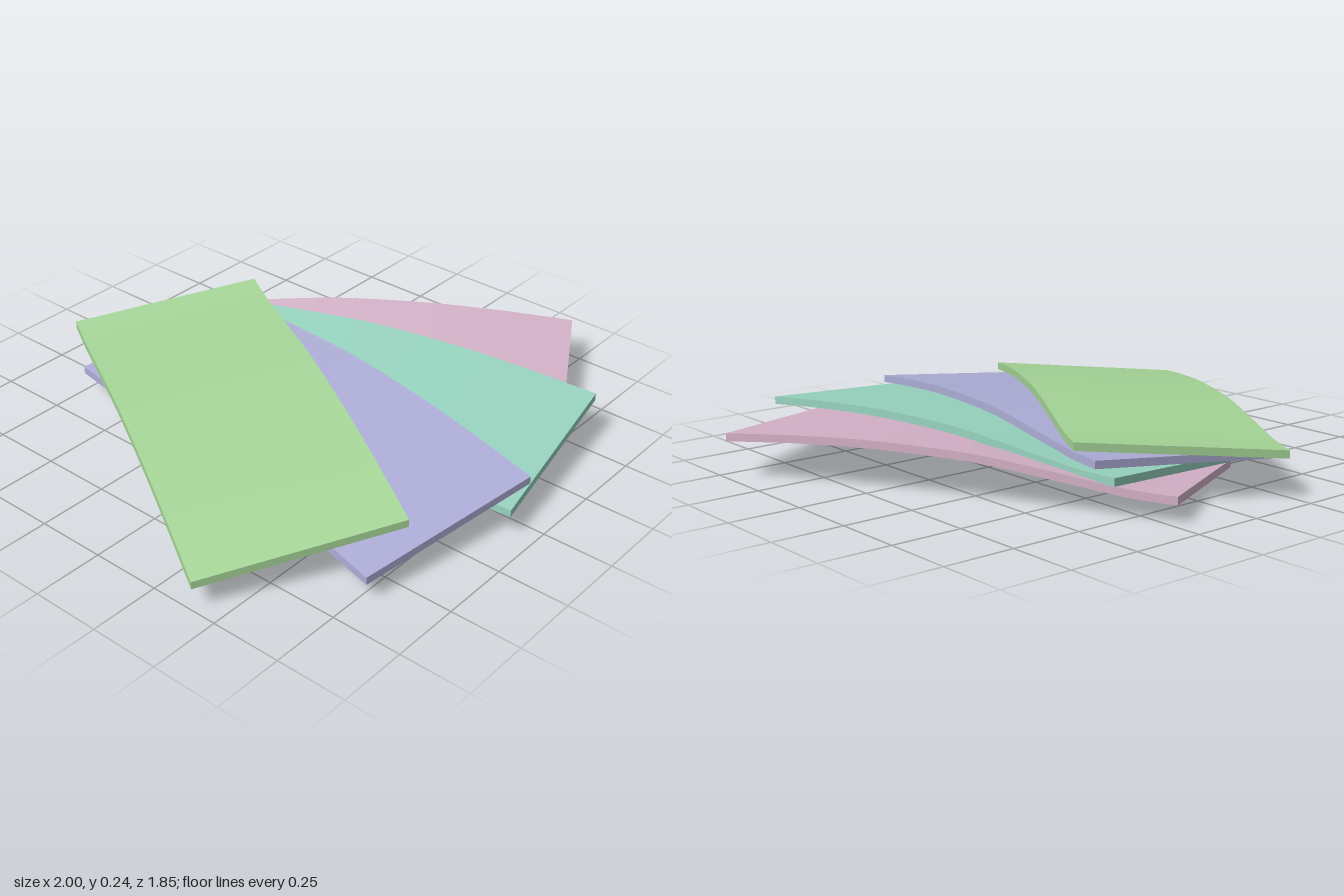
import * as THREE from 'three';

const LENGTH = 1.545, WIDTH = 0.695, THICK = 0.027, SIDE_RISE = 0.057;

// Lengthwise bulge above the straight line from front edge (t = 0) to back edge (t = 1)
const bulge = new THREE.SplineCurve([
  [0, 0], [0.16, 0.025], [0.32, 0.042], [0.48, 0.047], [0.6, 0.043],
  [0.75, 0.023], [0.9, 0.002], [1, 0],
].map(([t, y]) => new THREE.Vector2(t, y)));

function bulgeAt(t) {
  let lo = 0, hi = 1;
  for (let i = 0; i < 24; i++) {
    const mid = (lo + hi) / 2;
    if (bulge.getPoint(mid).x < t) lo = mid; else hi = mid;
  }
  return bulge.getPoint((lo + hi) / 2).y;
}

// One curved sheet: front and back are the heights of its underside at the middle of each end
function makeSheet({ name, color, x, z, angle, front, back }) {
  const geometry = new THREE.BoxGeometry(WIDTH, THICK, LENGTH, 4, 1, 32);
  const p = geometry.attributes.position;
  for (let i = 0; i < p.count; i++) {
    const t = THREE.MathUtils.clamp(0.5 - p.getZ(i) / LENGTH, 0, 1);
    const base = THREE.MathUtils.lerp(front, back, t) + bulgeAt(t);
    p.setY(i, p.getY(i) + THICK / 2 + base + SIDE_RISE * p.getX(i) / WIDTH);
  }
  geometry.computeVertexNormals();
  const mesh = new THREE.Mesh(geometry, new THREE.MeshStandardMaterial({ color }));
  mesh.name = name;
  mesh.position.set(x, 0, z);
  mesh.rotation.y = THREE.MathUtils.degToRad(angle);
  return mesh;
}

export function createModel() {
  const group = new THREE.Group();
  group.name = 'fannedSheets';
  // Stacked from bottom to top, fanned in steps of 20 degrees
  const sheets = [
    { name: 'pinkSheet', color: 0xd4b2c8, x: 0.308, z: -0.04, angle: 30, front: 0.1, back: 0.032 },
    { name: 'tealSheet', color: 0x98d4c0, x: 0.123, z: 0.102, angle: 10, front: 0.109, back: 0.075 },
    { name: 'blueSheet', color: 0xaeaed8, x: -0.156, z: 0.08, angle: -10, front: 0.099, back: 0.108 },
    { name: 'greenSheet', color: 0xa6d698, x: -0.313, z: -0.085, angle: -30, front: 0.113, back: 0.167 },
  ];
  for (const sheet of sheets) group.add(makeSheet(sheet));
  return group;
}
